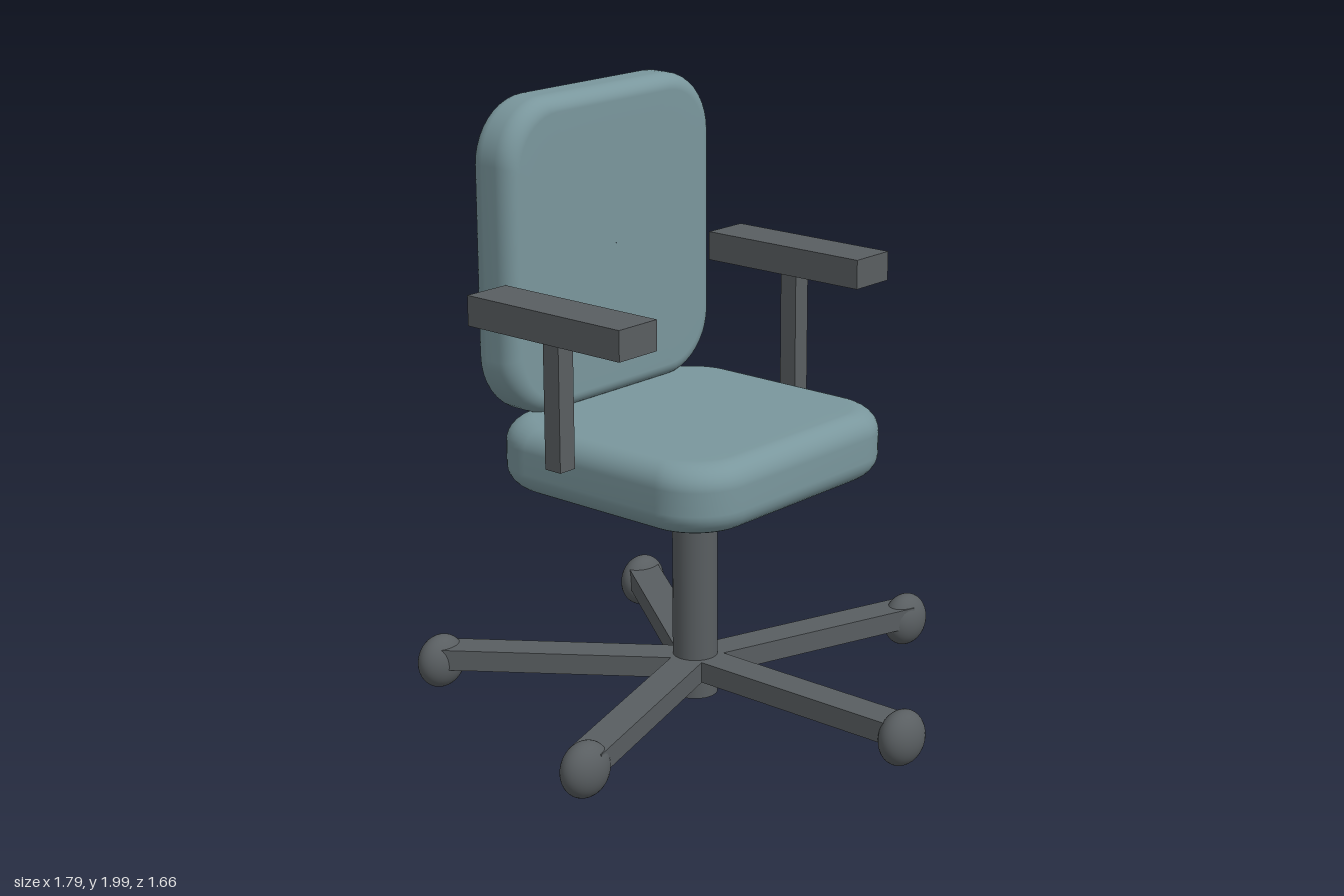
import * as THREE from 'three';

const fabric = new THREE.MeshStandardMaterial({ color: 0x7a979d });
fabric.name = 'blue grey fabric';
const plastic = new THREE.MeshStandardMaterial({ color: 0x595e61 });
plastic.name = 'dark grey plastic';

function add(parent, name, geometry, material, x = 0, y = 0, z = 0) {
  const mesh = new THREE.Mesh(geometry, material);
  mesh.name = name;
  mesh.position.set(x, y, z);
  parent.add(mesh);
  return mesh;
}

// Soft cushion lying in the XZ plane: rounded rectangles stacked along an eased edge.
function cushionGeometry(width, depth, thickness, corner, inset, edge) {
  const rings = [];
  const half = thickness / 2;
  const steps = 8;
  const side = [];
  for (let i = 0; i <= steps; i++) {
    const a = (i / steps) * Math.PI / 2;
    side.push([inset * (1 - Math.sin(a)), half - edge * (1 - Math.cos(a)), 1]);
  }
  // bottom centre -> bottom edge -> top edge -> top centre
  const caps = [0.001, 0.5, 0.85];
  caps.forEach(s => rings.push([inset, -half, s]));
  side.forEach(([i, y]) => rings.push([i, -y, 1]));
  side.slice().reverse().forEach(([i, y]) => rings.push([i, y, 1]));
  caps.slice().reverse().forEach(s => rings.push([inset, half, s]));

  const arc = 10;
  const count = 4 * (arc + 1);
  const positions = [];
  const indices = [];
  for (const [ins, y, scale] of rings) {
    const r = corner - ins * 0.6;
    const cx = width / 2 - ins - r;
    const cz = depth / 2 - ins - r;
    for (let q = 0; q < 4; q++) {
      const sx = q === 0 || q === 3 ? 1 : -1;
      const sz = q < 2 ? 1 : -1;
      for (let k = 0; k <= arc; k++) {
        const a = (q + k / arc) * Math.PI / 2;
        positions.push((sx * cx + r * Math.cos(a)) * scale, y, (sz * cz + r * Math.sin(a)) * scale);
      }
    }
  }
  for (let j = 0; j < rings.length - 1; j++) {
    for (let i = 0; i < count; i++) {
      const a = j * count + i;
      const b = j * count + (i + 1) % count;
      indices.push(a, a + count, b, b, a + count, b + count);
    }
  }
  const geometry = new THREE.BufferGeometry();
  geometry.setAttribute('position', new THREE.Float32BufferAttribute(positions, 3));
  geometry.setIndex(indices);
  geometry.computeVertexNormals();
  return geometry;
}

export function createModel() {
  const chair = new THREE.Group();
  chair.name = 'officeChair';
  const axisZ = -0.075;

  // Cushions
  add(chair, 'seat', cushionGeometry(0.99, 0.93, 0.225, 0.19, 0.075, 0.075), fabric, 0, 0.8725, -0.08);
  const back = cushionGeometry(0.96, 1.025, 0.178, 0.2, 0.05, 0.06);
  back.rotateX(Math.PI / 2);
  add(chair, 'backrest', back, fabric, 0, 1.4875, -0.498);

  // Centre column
  add(chair, 'column', new THREE.CylinderGeometry(0.074, 0.074, 0.78, 32), plastic, 0, 0.41, axisZ);

  // Five-legged base, one leg pointing forward
  const reach = 0.848;
  const legGeometry = new THREE.BoxGeometry(0.11, 0.07, reach);
  legGeometry.translate(0, 0, reach / 2);
  const casterGeometry = new THREE.SphereGeometry(0.09, 32, 20);
  casterGeometry.scale(1, 1, 0.71);
  for (let i = 0; i < 5; i++) {
    const a = (i / 5) * Math.PI * 2;
    add(chair, 'leg', legGeometry, plastic, 0, 0.12, axisZ).rotation.y = a;
    add(chair, 'caster', casterGeometry, plastic, Math.sin(a) * reach, 0.098, axisZ + Math.cos(a) * reach);
  }

  // Armrests
  for (const s of [1, -1]) {
    const arm = new THREE.Group();
    arm.name = s > 0 ? 'leftArmrest' : 'rightArmrest';
    add(arm, 'armPad', new THREE.BoxGeometry(0.165, 0.097, 0.63), plastic, s * 0.5665, 1.388, -0.115);
    add(arm, 'armPost', new THREE.BoxGeometry(0.064, 0.43, 0.064), plastic, s * 0.568, 1.137, -0.127);
    chair.add(arm);
  }
  return chair;
}
